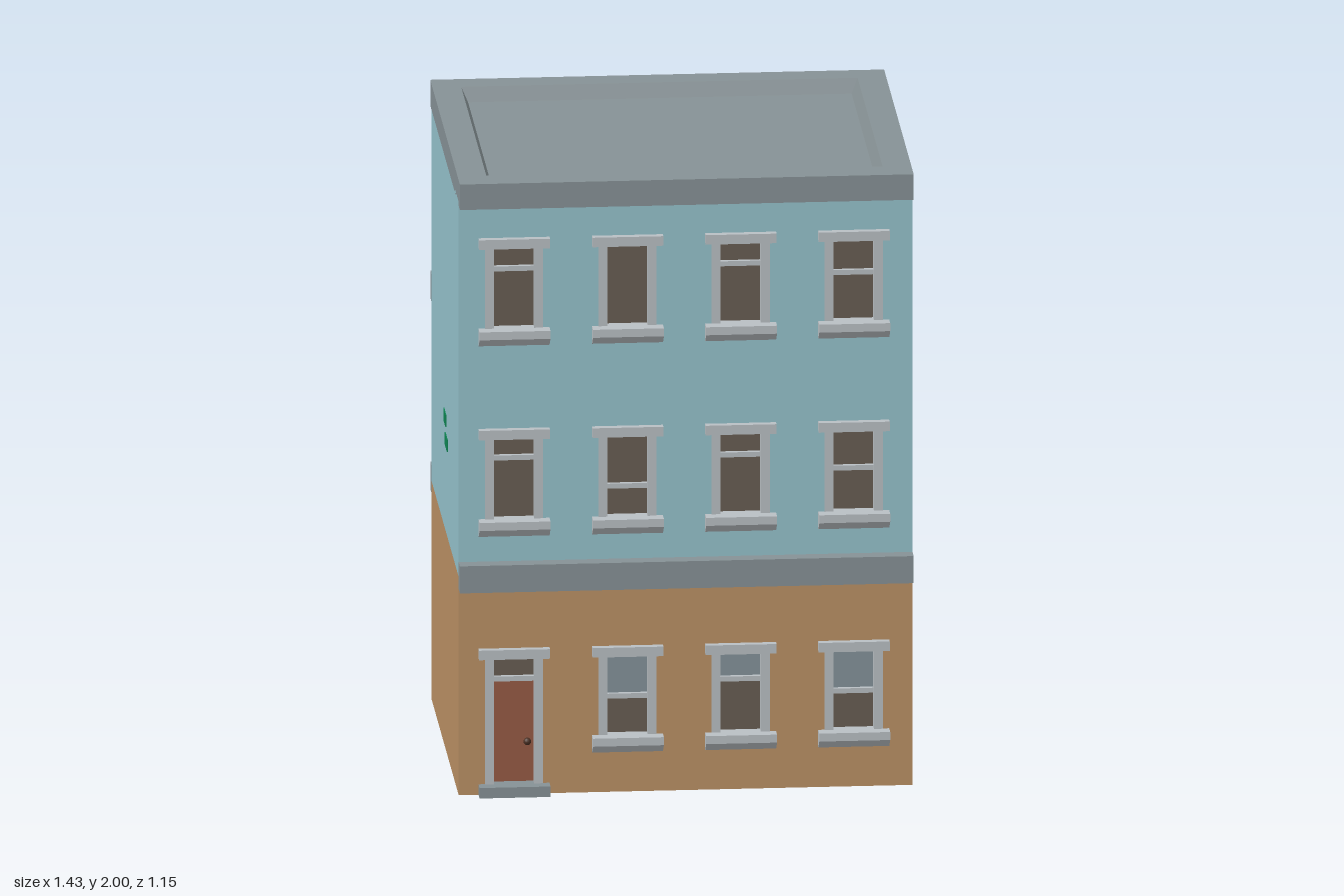
import * as THREE from 'three';

const mat = (name, color, side = THREE.FrontSide) => {
  const m = new THREE.MeshStandardMaterial({ color, side });
  m.name = name;
  return m;
};

export function createModel() {
  const M = {
    blue: mat('blue wall', 0x94c1cb, THREE.DoubleSide),
    tan: mat('tan wall', 0xba9064, THREE.DoubleSide),
    stone: mat('grey stone', 0x869195),
    trim: mat('pale trim', 0xb9bfc3),
    dark: mat('dark pane', 0x675d52, THREE.DoubleSide),
    glass: mat('grey glass', 0x84929a, THREE.DoubleSide),
    door: mat('red door', 0x955a44, THREE.DoubleSide),
    green: mat('green brick', 0x0f8653),
    knob: mat('dark knob', 0x4a3024),
  };
  const group = new THREE.Group();
  group.name = 'townhouse';
  const W = 0.71, D = 0.533, SPLIT = 0.71, TOP = 1.93;
  const PANE = 0.506;

  const add = (name, geo, material, parent = group) => {
    const mesh = new THREE.Mesh(geo, material);
    mesh.name = name;
    parent.add(mesh);
    return mesh;
  };
  // Box given by its limits on each axis
  const box = (name, material, x0, x1, y0, y1, z0, z1, parent) => {
    const mesh = add(name, new THREE.BoxGeometry(x1 - x0, y1 - y0, z1 - z0), material, parent);
    mesh.position.set((x0 + x1) / 2, (y0 + y1) / 2, (z0 + z1) / 2);
    return mesh;
  };
  const pane = (name, material, x, halfW, y0, y1, parent) => {
    const mesh = add(name, new THREE.PlaneGeometry(halfW * 2, y1 - y0), material, parent);
    mesh.position.set(x, (y0 + y1) / 2, PANE);
  };

  // Openings: column centres, and the sash bar heights of each storey
  const columns = [-0.537, -0.182, 0.172, 0.526];
  const storeys = [
    { y0: 0.13, y1: 0.475, bars: [null, 0.307, 0.354, 0.307], ground: true },
    { y0: 0.84, y1: 1.19, bars: [1.09, 0.99, 1.083, 1.032] },
    { y0: 1.46, y1: 1.81, bars: [1.705, null, 1.705, 1.668] },
  ];

  // Front wall sheets, with a hole for every opening
  const rect = (Type, x0, x1, y0, y1) => new Type([
    [x0, y0], [x1, y0], [x1, y1], [x0, y1]].map(([x, y]) => new THREE.Vector2(x, y)));
  const frontWall = (name, material, y0, y1, rows) => {
    const shape = rect(THREE.Shape, -W, W, y0, y1);
    for (const s of rows) columns.forEach((x, i) => {
      const bottom = s.ground && i === 0 ? 0.01 : s.y0 + 0.035;
      shape.holes.push(rect(THREE.Path, x - 0.09, x + 0.09, bottom, s.y1 - 0.02));
    });
    add(name, new THREE.ShapeGeometry(shape), material).position.z = D;
  };
  frontWall('lowerFrontWall', M.tan, 0, SPLIT, storeys.slice(0, 1));
  frontWall('upperFrontWall', M.blue, SPLIT, TOP, storeys.slice(1));

  // Back and side walls
  for (const [level, material, y0, y1] of [['lower', M.tan, 0, SPLIT], ['upper', M.blue, SPLIT, TOP]]) {
    const back = add(level + 'BackWall', new THREE.PlaneGeometry(2 * W, y1 - y0), material);
    back.position.set(0, (y0 + y1) / 2, -D);
    back.rotation.y = Math.PI;
    for (const s of [-1, 1]) {
      const side = add(level + 'SideWall', new THREE.PlaneGeometry(2 * D, y1 - y0), material);
      side.position.set(s * W, (y0 + y1) / 2, 0);
      side.rotation.y = s * Math.PI / 2;
    }
  }

  // Roof: rectangular rings [half width, back z, front z, y] from underside to sunken floor
  const rings = [
    [W, -0.575, 0.58, 1.917], [W, -0.575, 0.58, 2],
    [0.62, -0.49, 0.485, 2], [0.6, -0.47, 0.465, 1.955],
  ].map(([w, b, f, y]) => [[-w, y, f], [w, y, f], [w, y, b], [-w, y, b]]);
  const pos = [];
  const quad = (a, b, c, d) => pos.push(...a, ...b, ...c, ...a, ...c, ...d);
  for (let r = 0; r < 3; r++) for (let i = 0; i < 4; i++) {
    const j = (i + 1) % 4;
    quad(rings[r][i], rings[r][j], rings[r + 1][j], rings[r + 1][i]);
  }
  quad(...rings[3]);
  quad(...[...rings[0]].reverse());
  const roof = new THREE.BufferGeometry();
  roof.setAttribute('position', new THREE.Float32BufferAttribute(pos, 3));
  roof.computeVertexNormals();
  add('roofCornice', roof, M.stone);

  // Stone bands
  box('frontBand', M.stone, -W, W, 0.67, 0.758, D, 0.58);
  box('lowerBackBand', M.stone, -W, W, 0.67, 0.758, -0.575, -D);
  box('upperBackBand', M.stone, -W, W, 1.292, 1.38, -0.575, -D);

  // Sill with a sloping underside, extruded across the opening
  const sillShape = new THREE.Shape([[0.5, 0], [0.538, 0], [0.575, 0.03], [0.575, 0.056], [0.5, 0.056]]
    .map(([z, y]) => new THREE.Vector2(-z, y)));
  const sillGeo = new THREE.ExtrudeGeometry(sillShape, { depth: 0.222, bevelEnabled: false });
  sillGeo.rotateY(Math.PI / 2).translate(-0.111, 0, 0);

  // Lintel and jambs shared by windows and door
  const frame = (x, y0, y1, parent) => {
    box('lintel', M.trim, x - 0.111, x + 0.111, y1 - 0.031, y1, 0.5, 0.556, parent);
    for (const s of [-1, 1]) {
      const cx = x + s * 0.077;
      box('jamb', M.trim, cx - 0.014, cx + 0.014, y0, y1 - 0.03, 0.5, 0.537, parent);
    }
  };
  const bar = (x, y, parent) =>
    box('sashBar', M.trim, x - 0.064, x + 0.064, y - 0.008, y + 0.008, 0.5, 0.52, parent);

  for (const s of storeys) columns.forEach((x, i) => {
    if (s.ground && i === 0) return;
    const win = new THREE.Group();
    win.name = 'window';
    group.add(win);
    const bottom = s.y0 + 0.055, top = s.y1 - 0.03, y = s.bars[i];
    frame(x, bottom, s.y1, win);
    add('sill', sillGeo, M.trim, win).position.set(x, s.y0, 0);
    if (y) bar(x, y, win);
    pane('lowerPane', M.dark, x, 0.066, bottom, y ?? top, win);
    if (y) pane('upperPane', s.ground ? M.glass : M.dark, x, 0.066, y, top, win);
  });

  // Entrance
  const entry = new THREE.Group();
  entry.name = 'entrance';
  group.add(entry);
  const dx = columns[0];
  frame(dx, 0.03, 0.475, entry);
  pane('doorPanel', M.door, dx, 0.066, 0.02, 0.371, entry);
  pane('transomPane', M.dark, dx, 0.066, 0.371, 0.447, entry);
  bar(dx, 0.371, entry);
  box('doorStep', M.stone, dx - 0.111, dx + 0.111, 0, 0.034, 0.5, 0.575, entry);
  add('doorKnob', new THREE.SphereGeometry(0.012, 12, 8), M.knob, entry).position.set(-0.494, 0.165, 0.516);

  // Pairs of painted bricks: centres of the upper brick on right, left and back walls
  const T = 0.003;
  for (const [s, y] of [[1, 1.505], [-1, 1.075]]) {
    for (const [z, dy] of [[0.01, 0], [0.067, -0.064]]) {
      box('sideBrick', M.green, s * W - T, s * W + T, y + dy - 0.02, y + dy + 0.02, z - 0.041, z + 0.041);
    }
  }
  for (const [x, y] of [[0.243, 1.055], [0.302, 0.992]]) {
    box('backBrick', M.green, x - 0.041, x + 0.041, y - 0.02, y + 0.02, -D - T, -D + T);
  }
  return group;
}
